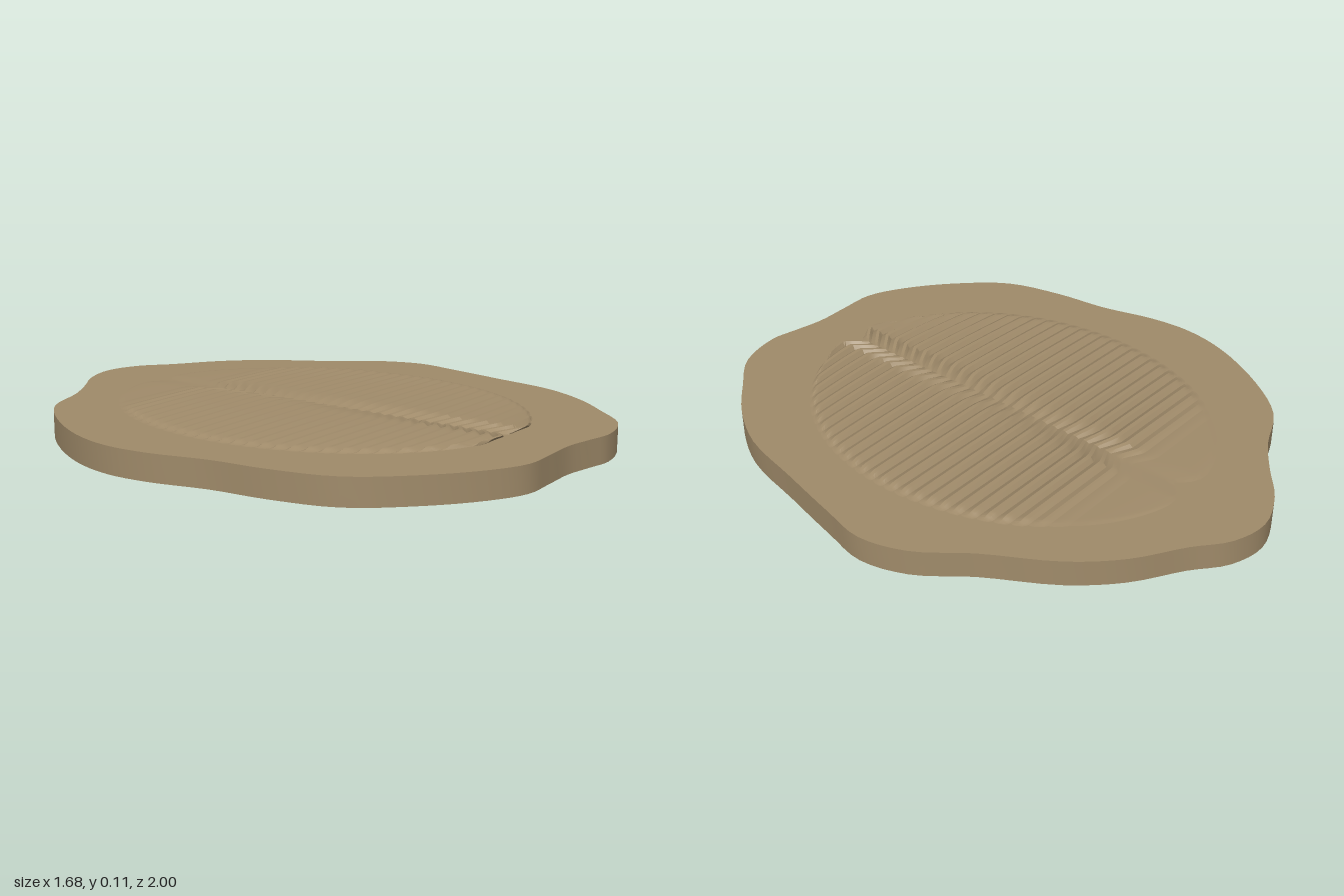
import * as THREE from 'three';
import { toCreasedNormals } from 'three/addons/utils/BufferGeometryUtils.js';

const TOP = 0.09;

// Wavy slab outline as x, z pairs, clockwise seen from above
const OUTLINE = [
  [0, -1], [0.13, -0.97], [0.24, -0.885], [0.4, -0.78], [0.53, -0.645], [0.67, -0.42],
  [0.79, -0.26], [0.838, -0.1], [0.81, 0.06], [0.76, 0.29], [0.705, 0.53], [0.61, 0.7],
  [0.495, 0.83], [0.37, 0.95], [0.21, 0.995], [0.11, 0.98], [0, 0.962], [-0.13, 0.965],
  [-0.26, 0.965], [-0.39, 0.905], [-0.55, 0.78], [-0.695, 0.61], [-0.755, 0.4], [-0.78, 0.2],
  [-0.83, 0], [-0.84, -0.16], [-0.8, -0.33], [-0.685, -0.545], [-0.55, -0.7], [-0.38, -0.78],
  [-0.26, -0.86], [-0.14, -0.95],
];

function slabGeometry() {
  const curve = new THREE.CatmullRomCurve3(
    OUTLINE.map(([x, z]) => new THREE.Vector3(x, -z, 0)), true, 'centripetal');
  const points = curve.getPoints(128).slice(0, -1).map((p) => new THREE.Vector2(p.x, p.y));
  const geometry = new THREE.ExtrudeGeometry(new THREE.Shape(points), { depth: TOP, bevelEnabled: false });
  geometry.rotateX(-Math.PI / 2);
  return toCreasedNormals(geometry, 0.5);
}

// Oval relief: rows run along z, each spanning the oval's width
function reliefGeometry(rows, heightAt) {
  const columns = 64;
  const positions = [];
  const index = [];
  rows.forEach(({ z, level }, r) => {
    const half = 0.62 * Math.sqrt(Math.max(0, 1 - ((z - 0.03) / 0.77) ** 2));
    for (let c = 0; c <= columns; c++) {
      const t = (c / columns) * 2 - 1;
      const u = Math.sin((t * Math.PI) / 2); // closer columns at the rim
      const x = u * half;
      const furrow = Math.min(1, Math.abs(x) / 0.07);
      // the rows bend toward the middle along the central furrow
      const bend = -0.08 * z * (1 - furrow) - 0.04 * Math.max(0, z) * u * u;
      const rim = THREE.MathUtils.smoothstep((1 - Math.abs(u)) * half, 0, 0.05);
      const rise = heightAt(level) * rim * (1 - 0.4 * u * u) * (0.35 + 0.65 * furrow);
      positions.push(x, TOP - 0.0005 + rise, z + bend);
      if (r > 0 && c > 0) {
        const d = r * (columns + 1) + c;
        const b = d - columns - 1;
        index.push(b - 1, d - 1, b, b, d - 1, d);
      }
    }
  });
  const geometry = new THREE.BufferGeometry();
  geometry.setAttribute('position', new THREE.Float32BufferAttribute(positions, 3));
  geometry.setIndex(index);
  return geometry;
}

export function createModel() {
  const group = new THREE.Group();
  const stone = new THREE.MeshStandardMaterial({ color: 0xa08b6a });
  stone.name = 'sandstone';

  const add = (name, geometry) => {
    const mesh = new THREE.Mesh(geometry, stone);
    mesh.name = name;
    group.add(mesh);
  };

  add('slab', slabGeometry());

  // Ribbed body: each rib rises, stays flat, then drops toward the front
  const bodyStart = -0.55;
  const bodyEnd = 0.798;
  const ribs = 28;
  const pitch = (bodyEnd - bodyStart) / ribs;
  const profile = [[0, 0.12], [0.25, 0.95], [0.55, 1]];
  const bodyRows = [];
  for (let i = 0; i < ribs; i++) {
    for (const [phase, height] of profile) {
      const z = bodyStart + (i + phase) * pitch;
      const fade = THREE.MathUtils.smoothstep(z, -0.58, -0.36);
      bodyRows.push({ z, level: 0.15 + (height - 0.15) * fade });
    }
  }
  bodyRows.push({ z: bodyEnd, level: 0 });
  add('ribbedBody', toCreasedNormals(reliefGeometry(bodyRows, (level) => 0.018 * level), 0.3));

  // Smooth, low head shield
  const headRows = [];
  for (let i = 0; i <= 12; i++) {
    const z = -0.738 + (i / 12) * (bodyStart + 0.738);
    headRows.push({ z, level: Math.min(1, i / 2) * (1 + 0.5 * Math.sin((i / 12) * Math.PI)) });
  }
  add('headShield', toCreasedNormals(reliefGeometry(headRows, (level) => 0.0027 * level), 0.6));

  return group;
}
